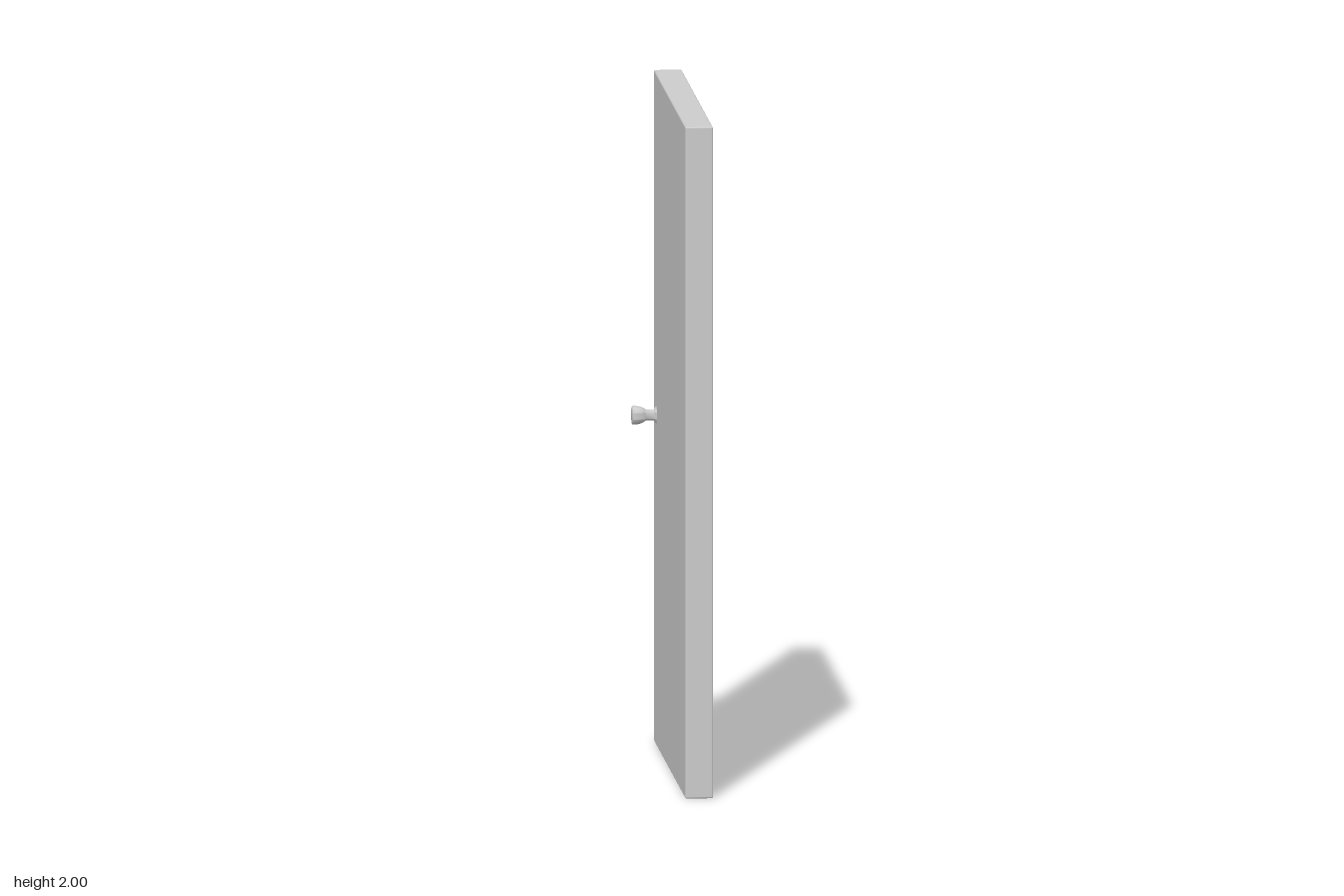
import * as THREE from 'three';
import { toCreasedNormals } from 'three/addons/utils/BufferGeometryUtils.js';
import { RoundedBoxGeometry } from 'three/addons/geometries/RoundedBoxGeometry.js';

const THICKNESS = 0.082, HEIGHT = 2, WIDTH = 1.006;

export function createModel() {
  const model = new THREE.Group();
  model.name = 'door';
  const material = new THREE.MeshStandardMaterial({ color: 0xcccccc });

  // Plain slab with slightly eased edges
  const panel = new THREE.Mesh(new RoundedBoxGeometry(THICKNESS, HEIGHT, WIDTH, 2, 0.005), material);
  panel.name = 'doorPanel';
  panel.position.y = HEIGHT / 2;
  model.add(panel);

  // Knob profile [radius, distance from the door's middle]: rose, stem, flared grip
  const profile = [
    [0.026, 0.036], [0.026, 0.041], [0.023, 0.044], [0.018, 0.047], [0.016, 0.05],
    [0.016, 0.072], [0.018, 0.074], [0.022, 0.08], [0.025, 0.087], [0.027, 0.096],
    [0.028, 0.104], [0.028, 0.109], [0.027, 0.112], [0.025, 0.113], [0, 0.113],
  ].map(([r, d]) => new THREE.Vector2(r, d));
  const knobGeometry = toCreasedNormals(new THREE.LatheGeometry(profile, 40), 0.8);

  // One knob on each face, near the back edge
  for (const [name, side] of [['leftKnob', 1], ['rightKnob', -1]]) {
    const knob = new THREE.Mesh(knobGeometry, material);
    knob.name = name;
    knob.position.set(0, 0.985, -0.427);
    knob.rotation.z = -side * Math.PI / 2;
    model.add(knob);
  }
  return model;
}
